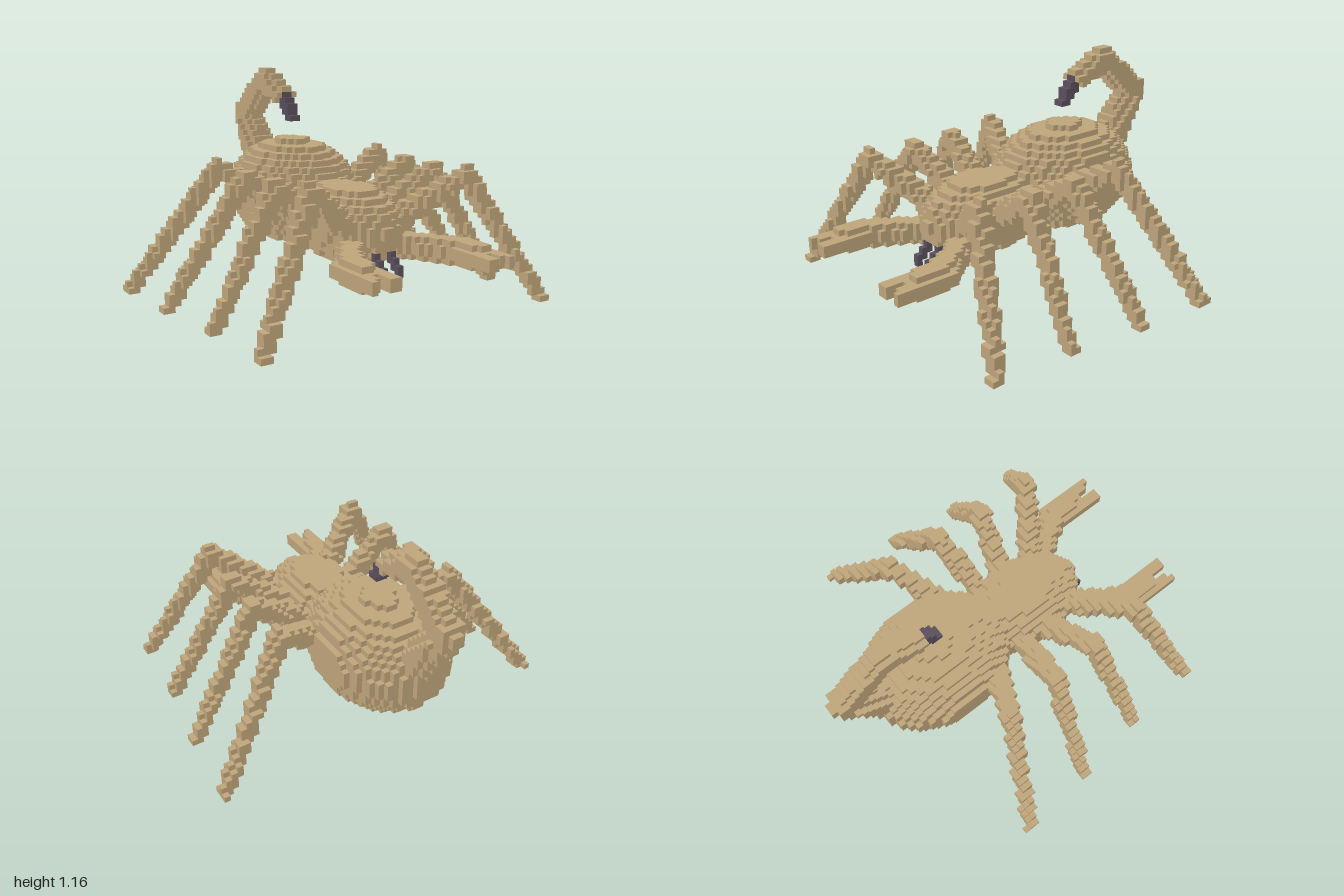
import * as THREE from 'three';

const V = 1 / 32; // edge of one cube

// Test for an ellipsoid
const ellipsoid = (c, r) => (p) =>
  p.reduce((sum, q, a) => sum + ((q - c[a]) / r[a]) ** 2, 0) <= 1;

// Test for a limb: points are [x, y, z, radius], tapered between neighbours
const limb = (points) => (p) => {
  for (let i = 0; i < points.length - 1; i++) {
    const a = points[i], b = points[i + 1];
    let dot = 0, len = 0;
    for (let k = 0; k < 3; k++) {
      dot += (p[k] - a[k]) * (b[k] - a[k]);
      len += (b[k] - a[k]) ** 2;
    }
    const t = Math.min(1, Math.max(0, dot / len));
    const d = Math.hypot(...p.map((q, k) => q - a[k] - t * (b[k] - a[k])));
    if (d <= a[3] + t * (b[3] - a[3])) return true;
  }
  return false;
};

const anyOf = (...tests) => (p) => tests.some((test) => test(p));
const mirrored = (test) => (p) => test([-p[0], p[1], p[2]]);

export function createModel() {
  const shell = new THREE.MeshStandardMaterial({ color: 0xbea47a });
  shell.name = 'tanShell';
  const dark = new THREE.MeshStandardMaterial({ color: 0x5a4f5c });
  dark.name = 'darkHorn';

  const parts = [];
  const add = (name, material, test) => parts.push({ name, material, test, cells: [] });
  const addPair = (name, material, test) => {
    add('left' + name, material, test);
    add('right' + name, material, mirrored(test));
  };

  // Venomous tip and fangs come first, so they keep their own cubes
  add('stinger', dark, limb([[0, 1.0, -0.455, 0.036], [0, 0.955, -0.42, 0.034], [0, 0.89, -0.37, 0.022]]));
  addPair('Fang', dark, limb([[0.047, 0.3, 0.51, 0.024], [0.047, 0.205, 0.578, 0.022]]));

  // Body
  add('abdomen', shell, ellipsoid([0, 0.485, -0.385], [0.325, 0.29, 0.42]));
  add('head', shell, ellipsoid([0, 0.4, 0.19], [0.225, 0.21, 0.36]));

  // Tail arching over the back
  add('tail', shell, limb([
    [0, 0.58, -0.72, 0.1], [0, 0.88, -0.92, 0.075], [0, 1.09, -0.67, 0.065], [0, 1.01, -0.48, 0.055],
  ]));

  // Pincers: arm, palm and two fingers
  const y = 0.3125;
  addPair('Pincer', shell, anyOf(
    limb([[0.1, 0.34, 0.4, 0.07], [0.21, y, 0.53, 0.062], [0.3, y, 0.68, 0.065]]),
    ellipsoid([0.33, y, 0.77], [0.085, 0.066, 0.15]),
    limb([[0.355, y, 0.84, 0.036], [0.39, y, 0.98, 0.03]]),
    limb([[0.295, y, 0.84, 0.036], [0.28, y, 0.98, 0.03]]),
  ));

  // Legs: hip, knee, foot
  const legs = [
    [[0.14, 0.42, 0.38], [0.46, 0.66, 0.58], [0.815, 0.0156, 0.77]],
    [[0.16, 0.42, 0.2], [0.48, 0.645, 0.285], [0.845, 0.0156, 0.355]],
    [[0.16, 0.42, 0.06], [0.5, 0.65, 0.01], [0.905, 0.0156, -0.065]],
    [[0.15, 0.44, -0.13], [0.51, 0.66, -0.29], [0.945, 0.0156, -0.485]],
  ];
  legs.forEach(([hip, knee, foot], i) =>
    addPair('Leg' + (i + 1), shell, limb([[...hip, 0.062], [...knee, 0.05], [...foot, 0.034]])));

  // Fill the grid, each cube going to the first part that contains it
  const filled = new Set();
  const key = (c) => c.join();
  for (let i = -32; i < 32; i++)
    for (let j = 0; j < 38; j++)
      for (let k = -32; k < 32; k++) {
        const cell = [i, j, k];
        const centre = cell.map((n) => (n + 0.5) * V);
        const part = parts.find((p) => p.test(centre));
        if (!part) continue;
        part.cells.push(cell);
        filled.add(key(cell));
      }

  // Skin each part with the open faces of its cubes
  const group = new THREE.Group();
  group.name = 'scorpion';
  const loops = { 1: [0, 1, 2, 0, 2, 3], '-1': [0, 2, 1, 0, 3, 2] };
  for (const part of parts) {
    const positions = [], normals = [];
    for (const cell of part.cells)
      for (let axis = 0; axis < 3; axis++)
        for (const side of [1, -1]) {
          const next = [...cell];
          next[axis] += side;
          if (filled.has(key(next))) continue;
          const normal = [0, 0, 0];
          normal[axis] = side;
          const corners = [[0, 0], [1, 0], [1, 1], [0, 1]].map(([u, w]) => {
            const c = [...cell];
            c[axis] += side > 0 ? 1 : 0;
            c[(axis + 1) % 3] += u;
            c[(axis + 2) % 3] += w;
            return c.map((n) => n * V);
          });
          for (const n of loops[side]) {
            positions.push(...corners[n]);
            normals.push(...normal);
          }
        }
    const geometry = new THREE.BufferGeometry();
    geometry.setAttribute('position', new THREE.Float32BufferAttribute(positions, 3));
    geometry.setAttribute('normal', new THREE.Float32BufferAttribute(normals, 3));
    const mesh = new THREE.Mesh(geometry, part.material);
    mesh.name = part.name;
    group.add(mesh);
  }
  return group;
}
